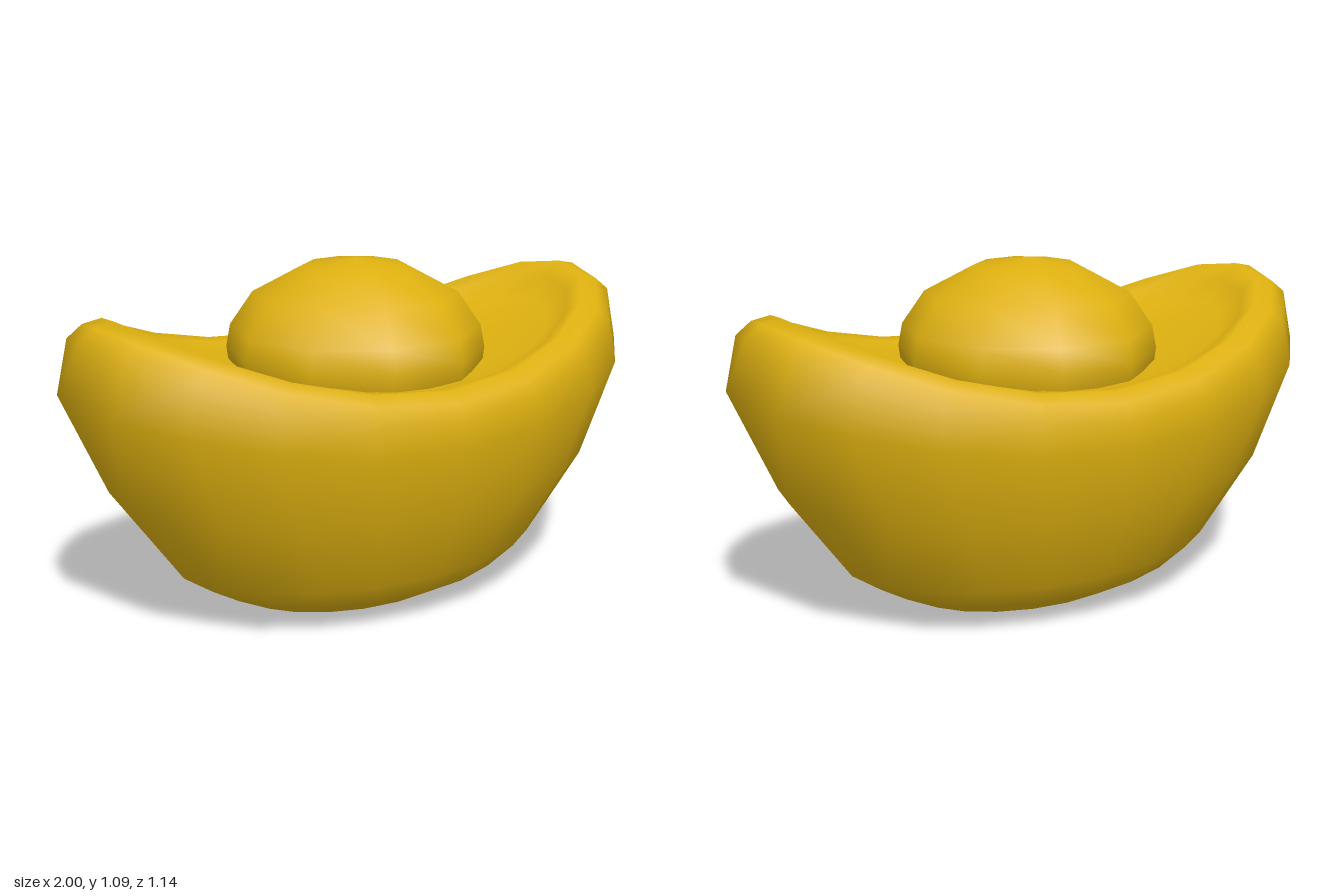
import * as THREE from 'three';

const SIDES = 20;

// Cross-section rings: half width, half depth, height at the ends (x), height at the middle (z)
const RINGS = [
  [0.2, 0.12, 0.003, 0.0],
  [0.4, 0.235, 0.022, 0.01],
  [0.54, 0.365, 0.09, 0.08],
  [0.64, 0.43, 0.155, 0.155],
  [0.84, 0.54, 0.42, 0.39],
  [1.0, 0.57, 0.76, 0.59],
  [0.96, 0.565, 0.935, 0.675],
  [0.91, 0.54, 0.972, 0.73],
  [0.85, 0.49, 0.985, 0.755],
  [0.8, 0.45, 0.935, 0.75],
  [0.73, 0.4, 0.865, 0.74],
  [0.4, 0.25, 0.76, 0.732],
];

// Boat-shaped shell: elliptical rings that rise toward both ends
function hullGeometry() {
  const pos = [];
  const index = [];
  for (const [rx, rz, yEnd, yMid] of RINGS) {
    for (let j = 0; j < SIDES; j++) {
      const a = (j / SIDES) * Math.PI * 2;
      const c = Math.cos(a);
      pos.push(rx * c, yMid + (yEnd - yMid) * c * c, rz * Math.sin(a));
    }
  }
  const bottom = pos.length / 3;
  pos.push(0, 0, 0, 0, 0.73, 0);
  const last = (RINGS.length - 1) * SIDES;
  for (let j = 0; j < SIDES; j++) {
    const k = (j + 1) % SIDES;
    for (let i = 0; i < RINGS.length - 1; i++) {
      const lo = i * SIDES;
      const hi = lo + SIDES;
      index.push(lo + j, hi + j, lo + k, lo + k, hi + j, hi + k);
    }
    index.push(bottom, j, k, last + j, bottom + 1, last + k);
  }
  const g = new THREE.BufferGeometry();
  g.setAttribute('position', new THREE.Float32BufferAttribute(pos, 3));
  g.setIndex(index);
  g.computeVertexNormals();
  return g;
}

export function createModel() {
  const group = new THREE.Group();
  group.name = 'goldIngot';
  const gold = new THREE.MeshStandardMaterial({ color: 0xddb010 });
  gold.name = 'gold';

  const hull = new THREE.Mesh(hullGeometry(), gold);
  hull.name = 'ingotBody';
  group.add(hull);

  // Central dome, ten-sided with corners on the x axis
  const profile = [
    [0.36, 0.66], [0.4, 0.73], [0.408, 0.8], [0.395, 0.87],
    [0.323, 0.975], [0.163, 1.06], [0, 1.085],
  ].map(([r, y]) => new THREE.Vector2(r, y));
  const dome = new THREE.Mesh(new THREE.LatheGeometry(profile, 10, Math.PI / 2), gold);
  dome.name = 'centreDome';
  group.add(dome);

  return group;
}
